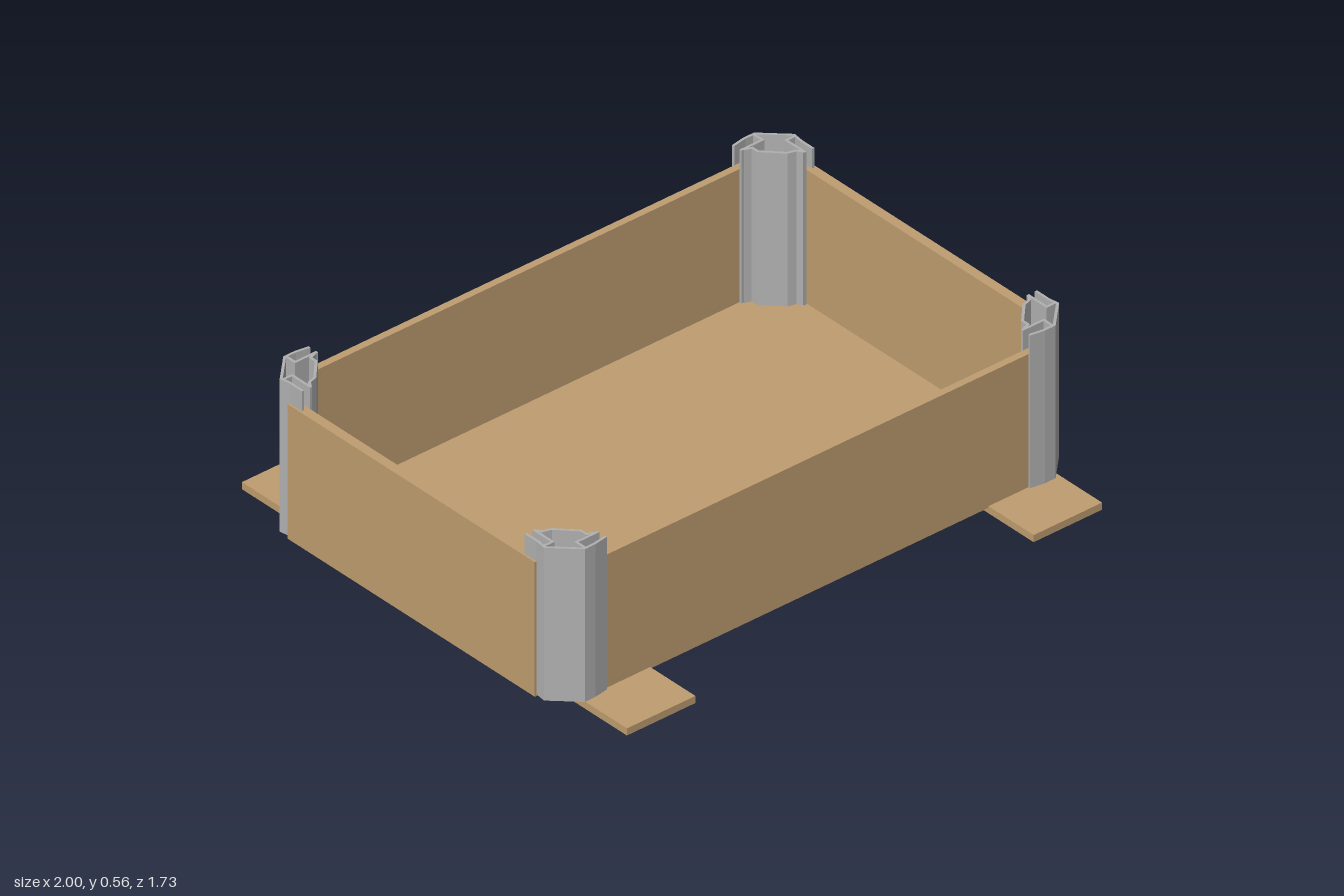
import * as THREE from 'three';

const wood = new THREE.MeshStandardMaterial({ name: 'wood', color: 0xbf9d6f });
const metal = new THREE.MeshStandardMaterial({ name: 'greyMetal', color: 0xb0b0b0 });

// Extrude a plan outline of [x, z] points upward from y0 to y1
function slab(name, points, y0, y1, material) {
  const shape = new THREE.Shape(points.map(([x, z]) => new THREE.Vector2(x, -z)));
  const geometry = new THREE.ExtrudeGeometry(shape, { depth: y1 - y0, bevelEnabled: false });
  geometry.rotateX(-Math.PI / 2).translate(0, y0, 0);
  const mesh = new THREE.Mesh(geometry, material);
  mesh.name = name;
  return mesh;
}

function panel(name, x0, x1, z0, z1, y0, y1) {
  const mesh = new THREE.Mesh(new THREE.BoxGeometry(x1 - x0, y1 - y0, z1 - z0), wood);
  mesh.position.set((x0 + x1) / 2, (y0 + y1) / 2, (z0 + z1) / 2);
  mesh.name = name;
  return mesh;
}

// Thicken an open path into a mitred sheet outline
function sheet(path, thickness) {
  const pts = path.map(([x, z]) => new THREE.Vector2(x, z));
  const normal = (a, b) => new THREE.Vector2(a.y - b.y, b.x - a.x).normalize();
  const offsets = pts.map((p, i) => {
    const n0 = normal(pts[Math.max(i - 1, 0)], pts[Math.max(i, 1)]);
    const last = pts.length - 1;
    const n1 = normal(pts[Math.min(i, last - 1)], pts[Math.min(i + 1, last)]);
    const m = n0.clone().add(n1).normalize();
    return m.multiplyScalar(thickness / 2 / m.dot(n0));
  });
  const side = (s) => pts.map((p, i) => [p.x + s * offsets[i].x, p.y + s * offsets[i].y]);
  return [...side(1), ...side(-1).reverse()];
}

// Corner bracket sections, for the +x +z corner
const bracketSheets = {
  outerWall: [[0.82, 0.665], [0.87, 0.673], [0.91, 0.673], [0.993, 0.592], [0.988, 0.555], [0.988, 0.5]],
  frontSlot: [[0.82, 0.632], [0.905, 0.632], [0.905, 0.67]],
  sideSlot: [[0.957, 0.5], [0.957, 0.585], [0.99, 0.585]],
  innerWall: [[0.83, 0.629], [0.855, 0.62], [0.855, 0.595], [0.915, 0.532], [0.943, 0.524], [0.955, 0.505]],
};

export function createModel() {
  const model = new THREE.Group();
  model.name = 'tray';

  // Floor with chamfered corners and four projecting feet
  const base = slab('floorWithFeet', [
    [-0.965, 0.565], [-0.91, 0.61], [-0.91, 0.865], [-0.645, 0.865], [-0.645, 0.64],
    [0.665, 0.64], [0.665, 0.865], [0.93, 0.865], [0.93, 0.6], [0.965, 0.565],
    [0.965, -0.565], [0.93, -0.6], [0.93, -0.865], [0.665, -0.865], [0.665, -0.64],
    [-0.645, -0.64], [-0.645, -0.865], [-0.91, -0.865], [-0.91, -0.61], [-0.965, -0.565],
  ], 0, 0.025, wood);
  model.add(base);

  // Walls
  model.add(
    panel('frontPanel', -0.9, 0.9, 0.637, 0.662, 0.02, 0.493),
    panel('backPanel', -0.9, 0.9, -0.662, -0.637, 0.02, 0.493),
    panel('leftPanel', 0.967, 1, -0.555, 0.555, 0.02, 0.493),
    panel('rightPanel', -1, -0.967, -0.555, 0.555, 0.02, 0.493),
  );

  // Corner brackets, mirrored to all four corners
  for (const sx of [1, -1]) {
    for (const sz of [1, -1]) {
      const bracket = new THREE.Group();
      bracket.name = `${sz > 0 ? 'front' : 'back'}${sx > 0 ? 'Left' : 'Right'}Bracket`;
      for (const [name, path] of Object.entries(bracketSheets)) {
        const outline = sheet(path, 0.009).map(([x, z]) => [x * sx, z * sz]);
        bracket.add(slab(name, outline, 0.025, 0.562, metal));
      }
      model.add(bracket);
    }
  }
  return model;
}
